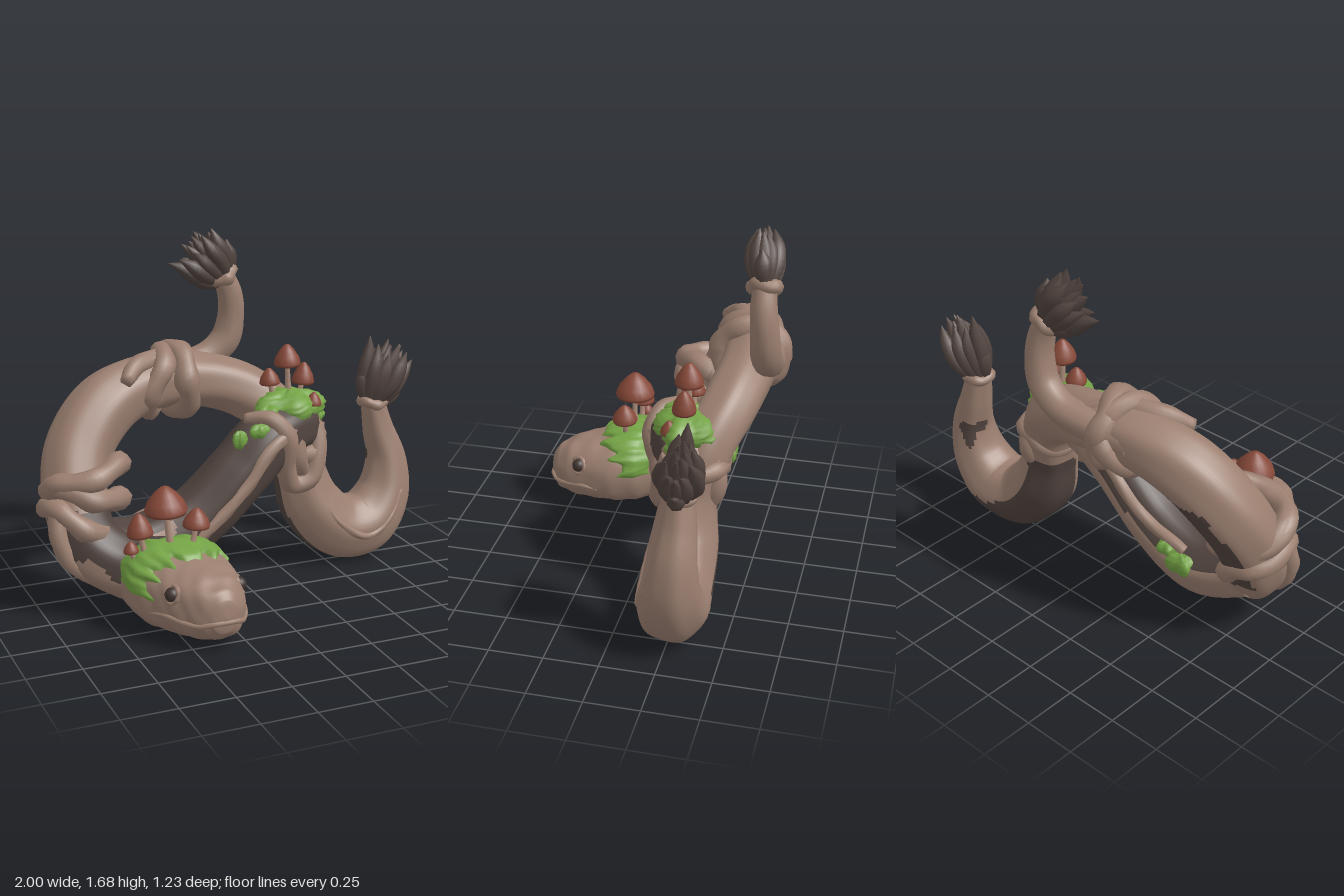
import * as THREE from 'three';

const mat = (name, color) => Object.assign(new THREE.MeshStandardMaterial({ color }), { name });
const tan = mat('tan bark', 0x9b7f70);
const dark = mat('dark bark', 0x51443f);
const green = mat('moss green', 0x74a245);
const red = mat('mushroom red', 0x874939);
const stem = mat('mushroom stem', 0xab8b7a);
const eyeMat = mat('eye dark', 0x40342f);
[tan, green, dark].forEach(m => (m.side = THREE.DoubleSide));
const V = (x, y, z) => new THREE.Vector3(x, y, z);
const bump = (x, y, z) => Math.sin(x * 31 + y * 17) * Math.sin(y * 29 + z * 23) * Math.sin(z * 37 + x * 13);

// Smooth surface from a rule fn(u, v); pick(normal, point) moves a face to the second material
function grid(name, nu, nv, wrap, fn, mats, pick) {
  const pos = [], cols = wrap ? nv : nv + 1, sets = [[], []];
  for (let i = 0; i <= nu; i++)
    for (let j = 0; j < cols; j++) pos.push(...fn(i / nu, j / nv).toArray());
  const at = k => V(pos[3 * k], pos[3 * k + 1], pos[3 * k + 2]);
  for (let i = 0; i < nu; i++)
    for (let j = 0; j < nv; j++) {
      const k = (j + 1) % cols;
      const a = i * cols + j, b = i * cols + k, c = b + cols, d = a + cols;
      let s = 0;
      if (pick) {
        const n = at(c).sub(at(a)).cross(at(d).sub(at(b))).normalize();
        s = pick(n, at(a).add(at(c)).multiplyScalar(0.5)) ? 1 : 0;
      }
      sets[s].push(a, b, c, a, c, d);
    }
  const g = new THREE.BufferGeometry();
  g.setAttribute('position', new THREE.Float32BufferAttribute(pos, 3));
  g.setIndex([...sets[0], ...sets[1]]);
  g.computeVertexNormals();
  if (pick) {
    g.addGroup(0, sets[0].length, 0);
    g.addGroup(sets[0].length, sets[1].length, 1);
  }
  const m = new THREE.Mesh(g, mats);
  m.name = name;
  return m;
}

// Tube of changing radius through [x, y, z, r] points, with slight lengthwise ridges
function sweep(name, pts, mats, { n = 24, sides = 12, closed = false, ridge = 0, twist = 0, pick } = {}) {
  const curve = new THREE.CatmullRomCurve3(pts.map(p => V(p[0], p[1], p[2])), closed);
  const radii = new THREE.CatmullRomCurve3(pts.map(p => V(p[3], 0, 0)), closed, 'catmullrom');
  const f = curve.computeFrenetFrames(n, closed);
  return grid(name, n + 2, sides, true, (u, v) => {
    const k = Math.round(u * (n + 2)) - 1;
    const i = Math.min(Math.max(k, 0), n), t = i / n, a = v * Math.PI * 2;
    const cap = !closed && (k < 0 || k > n) ? 0 : 1;
    const r = radii.getPoint(curve.getUtoTmapping(t)).x * cap * (1 + ridge * Math.sin(6 * a + twist * t));
    return curve.getPointAt(t).addScaledVector(f.normals[i], r * Math.cos(a)).addScaledVector(f.binormals[i], r * Math.sin(a));
  }, mats, pick);
}

// Rope ring around a point, across the given axis
function ring(c, axis, rx, ry, r, wob = 0.015) {
  const q = new THREE.Quaternion().setFromUnitVectors(V(0, 1, 0), V(...axis).normalize());
  const pts = [];
  for (let i = 0; i < 12; i++) {
    const a = i / 12 * Math.PI * 2;
    const p = V(rx * Math.cos(a), wob * Math.sin(3 * a), ry * Math.sin(a)).applyQuaternion(q).add(V(...c));
    pts.push([p.x, p.y, p.z, r * (1 + 0.12 * Math.sin(5 * a))]);
  }
  return sweep('ropeWrap', pts, tan, { n: 48, sides: 10, closed: true, ridge: 0.05, twist: 25 });
}

function blob(c, rx, ry, rz) {
  return grid('mossPatch', 24, 32, true, (u, v) => {
    const p = Math.PI * (u - 0.5), a = v * Math.PI * 2;
    const d = V(Math.cos(p) * Math.sin(a), Math.sin(p), Math.cos(p) * Math.cos(a));
    const s = 1 + 0.13 * Math.sin(5 * a + 1) * Math.cos(p) + 0.1 * bump(d.x / 2 + c[0], d.y / 2, d.z / 2);
    return V(c[0] + d.x * rx * s, c[1] + d.y * ry * s, c[2] + d.z * rz * s);
  }, green);
}

// Frayed tuft of pointed leaves, flattened from front to back and closing at the tip
function tuft(base, dir, len, flat) {
  const g = new THREE.Group();
  g.name = 'tuft';
  const leaf = (a, w, h) => {
    const p = (r, y, t, f = flat) => [Math.cos(a) * r, y, Math.sin(a) * r * f, t];
    g.add(sweep('tuftLeaf', [p(0.025, -0.02, 0.028), p(w * 0.7, h * 0.35, 0.038), p(w * 0.85, h * 0.7, 0.033, flat * 0.85), p(w * 1.1, h, 0.003, flat * 0.45)], dark, { n: 12, sides: 7 }));
  };
  for (let i = 0; i < 10; i++) leaf(i * 0.628, 0.1 + 0.02 * (i % 3), len * (0.78 + 0.07 * (i % 3)));
  for (let i = 0; i < 6; i++) leaf(i * 1.047 + 0.3, 0.045, len * (0.93 + 0.07 * (i % 2)));
  for (let i = 0; i < 2; i++) leaf(i * Math.PI, 0.12, len * 0.45);
  g.position.set(...base);
  g.quaternion.setFromUnitVectors(V(0, 1, 0), V(...dir).normalize());
  return g;
}

function mushroom(x, yBase, z, yRim, h, r, lean) {
  const g = new THREE.Group();
  g.name = 'mushroom';
  g.add(sweep('mushroomStem', [[x + lean, yBase, z, 0.02], [x + lean * 0.4, (yBase + yRim) / 2, z, 0.014], [x, yRim + 0.02, z, 0.013]], stem, { n: 8, sides: 8 }));
  const prof = [[0, 0.25], [0.6, 0.1], [0.95, -0.05], [1, 0.08], [0.85, 0.4], [0.5, 0.75], [0.2, 0.96], [0, 1]];
  const cap = new THREE.Mesh(new THREE.LatheGeometry(prof.map(p => new THREE.Vector2(p[0] * r, p[1] * h)), 20), red);
  cap.name = 'mushroomCap';
  cap.position.set(x, yRim, z);
  cap.rotation.z = lean * 2;
  g.add(cap);
  return g;
}

// Head cross-sections: z, centre x, centre y, half width, half height
const HEAD = [[-0.08, -0.57, 0.21, 0.12, 0.12], [0.02, -0.53, 0.195, 0.175, 0.155], [0.15, -0.475, 0.187, 0.225, 0.182], [0.28, -0.45, 0.18, 0.245, 0.178],
  [0.4, -0.42, 0.17, 0.2, 0.163], [0.5, -0.4, 0.165, 0.155, 0.143], [0.57, -0.385, 0.16, 0.1, 0.112], [0.602, -0.38, 0.155, 0.05, 0.065], [0.61, -0.38, 0.155, 0.002, 0.002]];
function headPoint(z, a, off = 0) {
  let i = 0;
  while (i < HEAD.length - 2 && z > HEAD[i + 1][0]) i++;
  const t = (z - HEAD[i][0]) / (HEAD[i + 1][0] - HEAD[i][0]);
  const [, cx, cy, w, h] = HEAD[i].map((s, k) => s + (HEAD[i + 1][k] - s) * t);
  const c = Math.cos(a), s = Math.sin(a), e = x => Math.sign(x) * Math.abs(x) ** 0.85;
  return V(cx + e(c) * (w + off), cy + e(s) * (h + off), z);
}

export function createModel() {
  const root = new THREE.Group();
  root.name = 'knottedSerpent';
  const add = (...m) => root.add(...m);

  // Long body: neck, arch, and the curled end
  const body = [[-0.5, 0.2, 0.12, 0.15], [-0.62, 0.21, 0.01, 0.145], [-0.77, 0.31, -0.09, 0.15], [-0.81, 0.5, -0.18, 0.15], [-0.765, 0.7, -0.28, 0.155],
    [-0.6, 0.885, -0.365, 0.155], [-0.38, 0.96, -0.415, 0.14], [-0.1, 0.95, -0.43, 0.13], [0.13, 0.87, -0.39, 0.13], [0.29, 0.72, -0.31, 0.13],
    [0.35, 0.5, -0.26, 0.13], [0.42, 0.3, -0.25, 0.155], [0.57, 0.162, -0.25, 0.16], [0.73, 0.165, -0.265, 0.16], [0.84, 0.29, -0.285, 0.135],
    [0.865, 0.46, -0.3, 0.105], [0.82, 0.63, -0.31, 0.08], [0.785, 0.78, -0.31, 0.06]];
  add(sweep('body', body, [tan, dark], {
    n: 200, sides: 48, ridge: 0.025, twist: 16,
    pick: (n, p) => {
      if (p.x > 0.15 && p.y < 0.52) return n.dot(V(-0.5, -0.62, -0.6)) > (p.x < 0.6 ? 0.5 : 0.65);
      if (p.x < -0.4 && p.y < 0.5 && p.z > -0.2) return n.y > 0;
      return p.x < -0.5 && p.y > 0.3 && p.y < 0.78 && n.dot(V(0.1, -0.5, -0.85)) > 0.81 + 0.05 * Math.sin(p.y * 40);
    },
  }));

  // Diagonal dark limb with tan ends
  add(sweep('crossLimb', [[-0.78, 0.3, -0.1, 0.13], [-0.52, 0.24, -0.15, 0.15], [-0.25, 0.34, -0.15, 0.15], [0, 0.56, -0.15, 0.15], [0.15, 0.69, -0.17, 0.15],
    [0.32, 0.72, -0.22, 0.125], [0.38, 0.64, -0.28, 0.1]], [dark, tan],
  {
    n: 90, sides: 44, ridge: 0.03, twist: 5,
    pick: (n, p) => n.dot(V(0.65, -0.3, -0.7)) > 0.5 || (p.x < -0.38 && n.y < 0.5) || (p.x > 0.2 && n.x > 0.7),
  }));
  add(sweep('limbStrand', [[-0.3, 0.27, -0.02, 0.03], [-0.17, 0.38, -0.01, 0.033], [-0.01, 0.54, -0.01, 0.033], [0.09, 0.67, -0.02, 0.035], [0.19, 0.73, -0.05, 0.035], [0.28, 0.75, -0.11, 0.025]],
    tan, { n: 40, ridge: 0.1, twist: 30 }));
  add(sweep('limbBackStrand', [[-0.5, 0.34, -0.26, 0.025], [-0.25, 0.43, -0.27, 0.03], [-0.05, 0.6, -0.27, 0.03], [0.1, 0.74, -0.28, 0.03]], tan, { n: 30, ridge: 0.1, twist: 20 }));
  add(sweep('curlStrand', [[0.38, 0.42, -0.13, 0.012], [0.5, 0.24, -0.1, 0.018], [0.66, 0.14, -0.1, 0.02], [0.8, 0.2, -0.135, 0.018], [0.89, 0.33, -0.18, 0.012]], tan, { n: 30, ridge: 0.1, twist: 30 }));

  // Raised tail with its tuft
  add(sweep('tail', [[-0.4, 0.97, -0.48, 0.07], [-0.2, 0.99, -0.51, 0.075], [-0.02, 1.03, -0.54, 0.07], [0.08, 1.11, -0.54, 0.073], [0.11, 1.23, -0.535, 0.067], [0.1, 1.34, -0.525, 0.06], [0.06, 1.44, -0.52, 0.05]],
    tan, { n: 50, sides: 18, ridge: 0.03, twist: 10 }));
  add(tuft([0.06, 1.43, -0.52], [-0.68, 0.75, 0.09], 0.27, 0.55), ring([0.06, 1.43, -0.52], [-0.5, 0.85, 0], 0.053, 0.053, 0.03, 0.008));
  add(tuft([0.785, 0.78, -0.31], [0.45, 0.87, -0.08], 0.31, 0.75), ring([0.785, 0.77, -0.31], [0.1, 1, 0], 0.055, 0.055, 0.026, 0.006));

  // Rope knots: left leg, top of the arch, right bend
  add(ring([-0.77, 0.62, -0.15], [-0.25, 1, -0.3], 0.17, 0.155, 0.052), ring([-0.78, 0.54, -0.14], [0.3, 1, -0.25], 0.165, 0.15, 0.052),
    ring([-0.82, 0.42, -0.14], [0.55, 0.9, -0.1], 0.155, 0.15, 0.048));
  add(sweep('looseRope', [[-0.92, 0.52, -0.09, 0.045], [-0.93, 0.38, -0.05, 0.045], [-0.87, 0.25, -0.03, 0.045], [-0.76, 0.18, 0, 0.04], [-0.62, 0.15, 0.04, 0.03]], tan, { ridge: 0.06, twist: 20 }));
  add(ring([-0.23, 0.965, -0.42], [1, 0.05, -0.2], 0.14, 0.14, 0.055), ring([-0.33, 0.97, -0.42], [1, -0.35, 0.35], 0.14, 0.14, 0.052));
  add(sweep('looseRope', [[-0.53, 1.02, -0.25, 0.03], [-0.45, 1.07, -0.33, 0.045], [-0.3, 1.08, -0.4, 0.05], [-0.17, 1.05, -0.46, 0.045], [-0.08, 1.0, -0.52, 0.04]], tan, { ridge: 0.06, twist: 20 }));
  add(ring([0.32, 0.64, -0.24], [0.9, 0.2, 0.25], 0.19, 0.15, 0.045), ring([0.34, 0.63, -0.27], [-0.4, 1, 0.2], 0.115, 0.135, 0.04));
  add(sweep('looseRope', [[0.02, 0.81, -0.15, 0.025], [0.13, 0.81, -0.08, 0.04], [0.2, 0.72, -0.05, 0.047], [0.21, 0.56, -0.09, 0.047], [0.26, 0.46, -0.12, 0.047],
    [0.35, 0.48, -0.12, 0.047], [0.4, 0.6, -0.14, 0.047], [0.41, 0.74, -0.18, 0.04]], tan, { n: 50, ridge: 0.06, twist: 30 }));

  // Head with dark nape, lip and eyes
  add(grid('head', 44, 40, true, (u, v) => {
    const z = -0.08 + 0.69 * Math.sin(u * Math.PI / 2);
    const p = headPoint(z, v * Math.PI * 2);
    return headPoint(z, v * Math.PI * 2, z > 0.6 ? 0 : 0.008 * bump(p.x, p.y, p.z));
  }, [tan, dark], (n, p) => p.z < 0.13 && n.y > 0.4));
  const side = m => [0.34, 0.42, 0.5, 0.56, 0.595].map((z, i) => {
    const a = 0.25 - 0.08 * Math.sin(i * 1.5), p = headPoint(z, m > 0 ? -a : Math.PI + a, -0.003);
    return [p.x, p.y, p.z, 0.006 + 0.007 * Math.min(i, 1)];
  });
  add(sweep('lip', [...side(1), ...side(-1).reverse()], tan, { n: 36, sides: 8 }));
  for (const [a, m] of [[0.42, 1], [Math.PI - 0.42, -1]]) {
    const p = headPoint(0.44, a, -0.012);
    const eye = new THREE.Mesh(new THREE.SphereGeometry(0.034, 16, 12), eyeMat);
    eye.name = 'eye';
    eye.position.copy(p);
    add(eye, ring(p.toArray(), [m, 0.35, 0.45], 0.04, 0.035, 0.011, 0.002));
  }

  // Moss saddle over the head, swept back on the left cheek, with ragged edges
  add(grid('headMoss', 60, 16, false, (u, v) => {
    const a = 0.05 + u * (Math.PI - 0.1), s = Math.max(0, Math.cos(a)) ** 2;
    const z0 = 0.1 - 0.03 * s + 0.02 * Math.sin(a * 9), z1 = 0.345 - 0.13 * s + 0.025 * Math.sin(a * 13) + 0.012 * Math.sin(a * 23);
    const z = z0 + (z1 - z0) * v, edge = Math.sin(Math.PI * v) ** 0.4 * Math.sin(Math.PI * u) ** 0.3;
    return headPoint(z, a, -0.004 + 0.034 * edge + 0.007 * bump(a / 3, z, a / 2));
  }, green));
  // Moss at the right bend, on the limb and at its lower end
  add(blob([0.275, 0.82, -0.23], 0.18, 0.09, 0.14), blob([0.42, 0.77, -0.22], 0.045, 0.035, 0.06), blob([0.15, 0.83, -0.16], 0.06, 0.035, 0.06),
    blob([-0.035, 0.73, -0.075], 0.035, 0.045, 0.025), blob([0.06, 0.765, -0.06], 0.05, 0.035, 0.03), blob([-0.49, 0.28, -0.28], 0.085, 0.055, 0.045), blob([-0.41, 0.33, -0.28], 0.05, 0.035, 0.04));

  // Mushrooms: x, base y, z, rim y, cap height, cap radius, lean
  [[-0.51, 0.36, 0.21, 0.535, 0.12, 0.098, 0.02], [-0.63, 0.32, 0.2, 0.44, 0.1, 0.06, 0.03], [-0.375, 0.34, 0.23, 0.455, 0.085, 0.063, -0.03], [-0.67, 0.3, 0.19, 0.36, 0.05, 0.035, 0.03],
    [0.28, 0.87, -0.235, 1.03, 0.1, 0.065, 0.01], [0.19, 0.86, -0.24, 0.945, 0.075, 0.05, 0.03], [0.36, 0.85, -0.23, 0.935, 0.1, 0.055, -0.04], [0.39, 0.78, -0.17, 0.835, 0.06, 0.04, -0.03],
  ].forEach(m => add(mushroom(...m)));
  return root;
}
